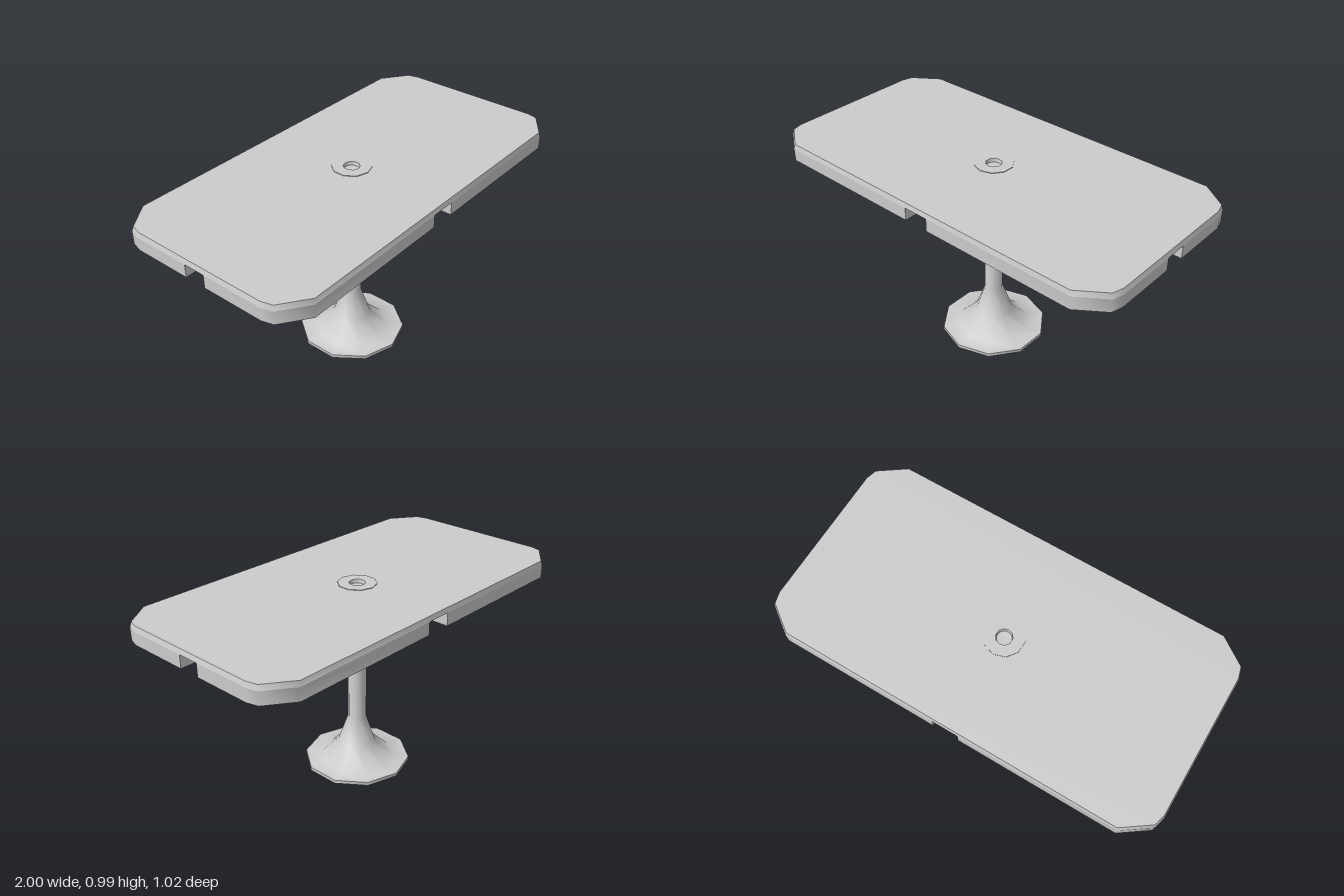
import * as THREE from 'three';
import { toCreasedNormals } from 'three/addons/utils/BufferGeometryUtils.js';

const material = new THREE.MeshStandardMaterial({ color: 0xcccccc });
const shellMaterial = new THREE.MeshStandardMaterial({ color: 0xcccccc, side: THREE.DoubleSide });
const CX = -0.005, CZ = -0.013; // pedestal axis

function addMesh(parent, name, geometry, mat = material) {
  const mesh = new THREE.Mesh(toCreasedNormals(geometry, 0.8), mat);
  mesh.name = name;
  parent.add(mesh);
  return mesh;
}

// Ten-sided turned part on the pedestal axis, profile given as [radius, y]
function addTurned(parent, name, profile, mat, sides = 10) {
  const points = profile.map(([r, y]) => new THREE.Vector2(r, y));
  addMesh(parent, name, new THREE.LatheGeometry(points, sides), mat).position.set(CX, 0, CZ);
}

// Plan outline (x, z) standing between two heights; y of the shape is -z
function plate(points, y0, y1, hole) {
  const shape = new THREE.Shape(points.map(([x, z]) => new THREE.Vector2(x, -z)));
  if (hole) shape.holes.push(hole);
  const geometry = new THREE.ExtrudeGeometry(shape, { depth: y1 - y0, bevelEnabled: false });
  return geometry.rotateX(-Math.PI / 2).translate(0, y0, 0);
}

export function createModel() {
  const model = new THREE.Group();
  model.name = 'pedestalTable';

  // Table top: a slab with clipped corners
  const top = new THREE.Group();
  top.name = 'tableTop';
  model.add(top);
  const corner = [[1, 0.36], [0.985, 0.415], [0.855, 0.508]];
  const outline = [[1, 1], [-1, 1], [-1, -1], [1, -1]].flatMap(([sx, sz]) => {
    const pts = corner.map(([x, z]) => [x * sx, z * sz]);
    return sx * sz > 0 ? pts : pts.reverse();
  });
  const hole = new THREE.Path().absarc(CX, -CZ, 0.055, 0, Math.PI * 2, true);
  const slab = plate(outline, 0.965, 0.99, hole);
  // Draw the upper rim in slightly
  const p = slab.attributes.position;
  for (let i = 0; i < p.count; i++) {
    const x = p.getX(i), z = p.getZ(i);
    if (p.getY(i) > 0.98 && Math.hypot(x, z) > 0.4) {
      p.setX(i, x - Math.sign(x) * 0.007);
      p.setZ(i, z - Math.sign(z) * 0.005);
    }
  }
  addMesh(top, 'topSlab', slab);

  // Four lower blocks leave a cross of open channels underneath
  for (const sx of [1, -1]) for (const sz of [1, -1]) {
    const x0 = sx * 0.065, z0 = -0.01 + sz * 0.055;
    const pts = [[x0, z0], [sx, z0], ...corner.map(([x, z]) => [x * sx, z * sz]), [x0, sz * 0.508]];
    addMesh(top, 'undersideBlock', plate(pts, 0.9, 0.965));
  }

  // Hollow flared foot and column
  addTurned(model, 'pedestal', [
    [0.272, 0], [0.272, 0.018], [0.187, 0.022], [0.097, 0.11],
    [0.047, 0.255], [0.047, 0.9], [0.055, 0.902], [0.055, 0.966],
  ], shellMaterial);

  // Collar under the top
  addTurned(model, 'collar', [[0, 0.885], [0.097, 0.885], [0.097, 0.9], [0, 0.9]]);

  // Thin washer with a recessed socket
  addTurned(model, 'washer', [[0.097, 0.985], [0.097, 0.993], [0.04, 0.993]]);
  addTurned(model, 'socket', [[0.04, 0.993], [0.036, 0.975], [0, 0.972]], shellMaterial, 20);

  return model;
}
